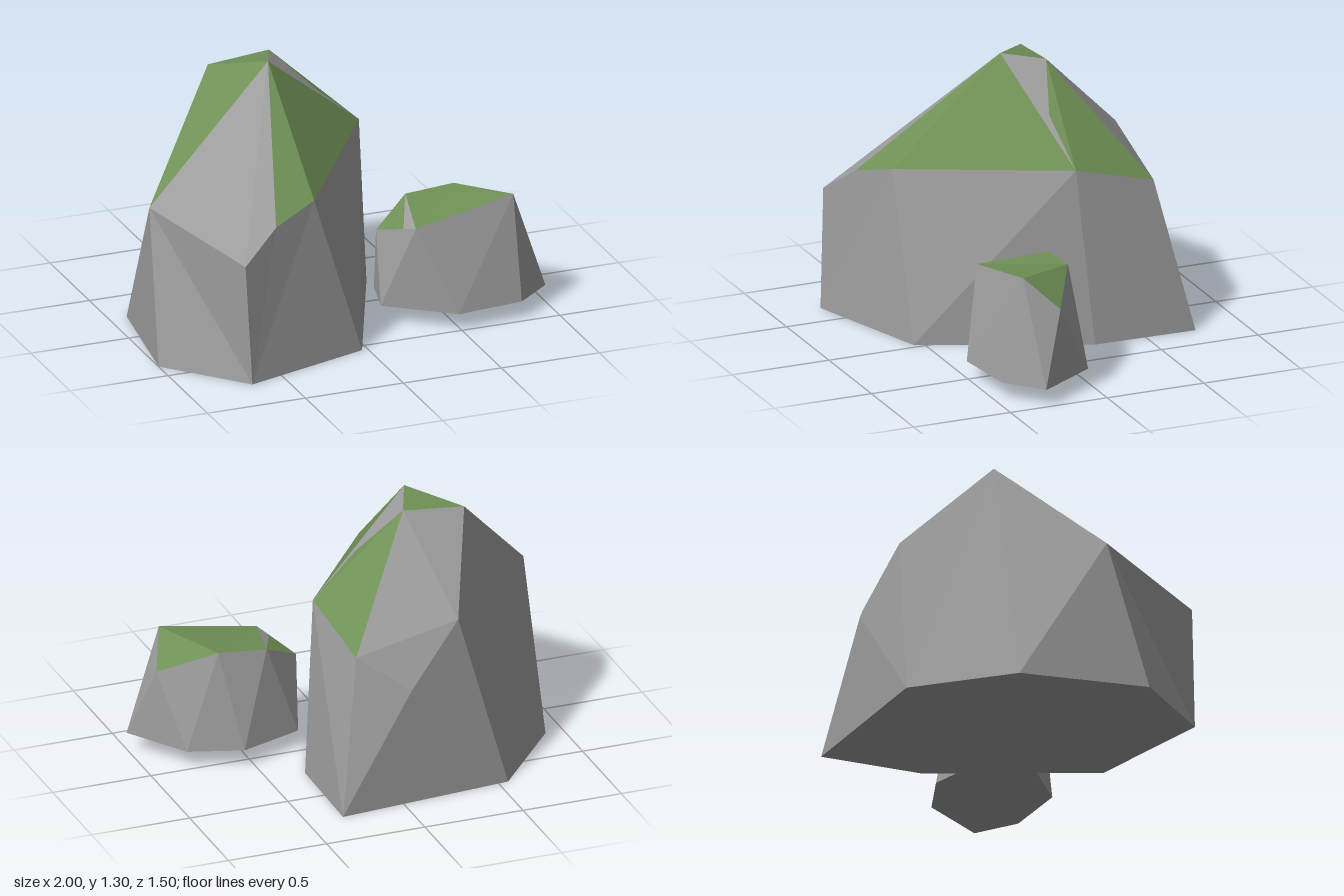
import * as THREE from 'three';

const stone = new THREE.MeshStandardMaterial({ color: 0x9c9c9c, flatShading: true });
stone.name = 'stone';
const moss = new THREE.MeshStandardMaterial({ color: 0x6f9056, flatShading: true });
moss.name = 'moss';

// Mesh of flat facets; each facet lists corner keys and is fanned, turned away from the core.
function facets(name, material, points, core, faces) {
  const positions = [];
  const p = (key) => new THREE.Vector3(...points[key]);
  for (const face of faces) {
    for (let i = 1; i < face.length - 1; i++) {
      const [a, b, c] = [p(face[0]), p(face[i]), p(face[i + 1])];
      const normal = b.clone().sub(a).cross(c.clone().sub(a));
      const outward = a.clone().add(b).add(c).divideScalar(3).sub(core);
      const tri = normal.dot(outward) > 0 ? [a, b, c] : [a, c, b];
      for (const v of tri) positions.push(v.x, v.y, v.z);
    }
  }
  const geometry = new THREE.BufferGeometry();
  geometry.setAttribute('position', new THREE.Float32BufferAttribute(positions, 3));
  geometry.computeVertexNormals();
  const mesh = new THREE.Mesh(geometry, material);
  mesh.name = name;
  return mesh;
}

// A rock: stone facets plus moss-covered facets, one letter or digit per corner.
function rock(name, points, core, stoneFaces, mossFaces) {
  const group = new THREE.Group();
  group.name = name;
  group.add(facets(name + 'Stone', stone, points, core, stoneFaces.split(' ')));
  group.add(facets(name + 'Moss', moss, points, core, mossFaces.split(' ')));
  return group;
}

export function createModel() {
  const model = new THREE.Group();
  model.name = 'mossyRocks';

  // Digits are the base ring, letters the shoulders and peaks.
  const large = {
    0: [-0.55, 0, -0.68], 1: [0.32, 0, -0.755], 2: [0.31, 0, -0.24], 3: [-0.03, 0, 0.55],
    4: [-0.67, 0, 0.75], 5: [-1, 0, 0.38], 6: [-0.91, 0, -0.25],
    A: [-0.285, 1.305, -0.01], B: [-0.2, 1.275, -0.21], C: [-0.51, 1.245, -0.215],
    D: [-0.32, 0.865, -0.62], E: [0.19, 0.74, -0.595], M: [-0.05, 0.58, -0.71],
    F: [-0.695, 0.595, 0.725], G: [-0.505, 0.735, 0.64], H: [-0.275, 0.805, 0.55],
    K: [0.243, 0.865, -0.17], W: [-0.965, 0.73, 0.175], P: [0.01, 1.07, -0.135],
  };
  model.add(rock('largeRock', large, new THREE.Vector3(-0.35, 0.5, 0),
    '0123456 4FGH3 HK3 K23 KE1 K12 EM1 M01 DM0 DEM BDE BCD CW60D W56 WF45 AWF AFG ABP APK',
    'AGH AHK ABC ACW BEK BPK'));

  const y = 0.085;
  const small = {
    0: [0.55, y, -0.07], 1: [0.81, y, 0.015], 2: [1, y, 0.315], 3: [0.82, y, 0.465],
    4: [0.485, y, 0.5], 5: [0.18, y, 0.265], 6: [0.235, y, 0.04],
    a: [0.2, 0.43, 0.155], b: [0.395, 0.54, 0.04], c: [0.64, 0.56, 0.045],
    d: [0.895, 0.44, 0.195], e: [0.82, 0.595, 0.355], f: [0.315, 0.5, 0.375],
    q: [0.28, 0.478, 0.305],
  };
  model.add(rock('smallRock', small, new THREE.Vector3(0.57, 0.28, 0.23),
    '0123456 ed2 e23 e34 e4f f45 f5aq a56 a6b b60 b0c c01 c1d d12 bqf',
    'fec fcb ecd abq'));

  return model;
}
